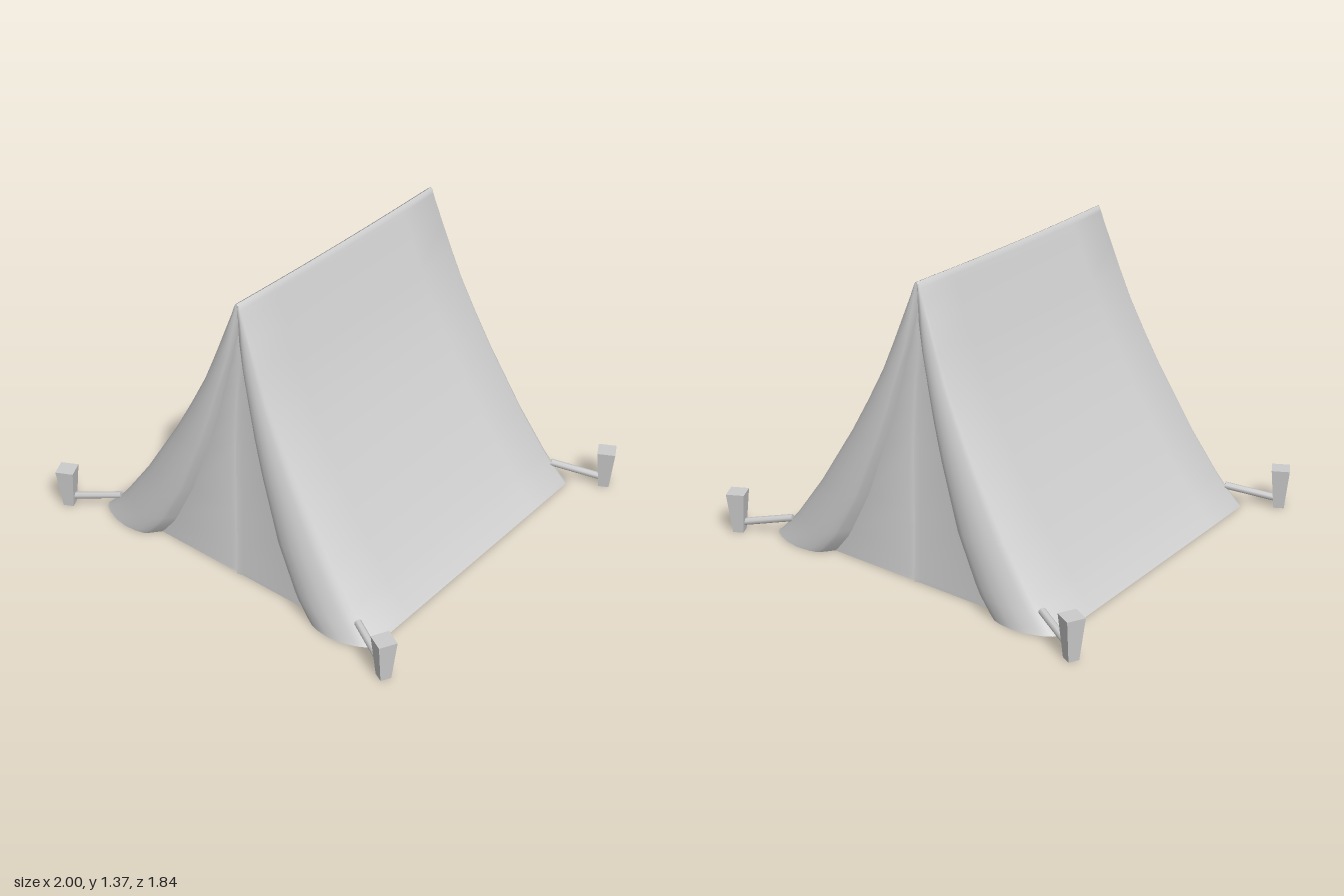
import * as THREE from 'three';
import { toCreasedNormals } from 'three/addons/utils/BufferGeometryUtils.js';

const material = new THREE.MeshStandardMaterial({ color: 0xcccccc, side: THREE.DoubleSide });
const lerp = THREE.MathUtils.lerp;
const HEIGHT = 1.37;

// Height, half width of the roof, half width of the door opening
const levels = [
  [0, 0.8, 0.49], [0.02, 0.775, 0.47], [0.09, 0.71, 0.41], [0.13, 0.675, 0.385],
  [0.33, 0.53, 0.28], [0.62, 0.35, 0.175], [0.78, 0.262, 0.125], [0.94, 0.18, 0.082],
  [1.08, 0.122, 0.045], [1.2, 0.075, 0.02], [1.3, 0.035, 0.009], [1.345, 0.019, 0.005],
  [1.363, 0.011, 0.003], [1.37, 0.001, 0.0005],
];

// Rolled flap: fraction from the roof edge to the door, and how far it bulges
const flap = [[0, 0], [0.06, 0.3], [0.18, 0.58], [0.38, 0.87], [0.6, 1], [0.82, 0.93], [0.95, 0.78], [1, 0.6]];

// One gable end at a given height, from +x to -x
function gableSection(y, w, inner) {
  const t = y / HEIGHT;
  const corner = lerp(0.745, 0.662, t);
  const bulge = lerp(0.825, 0.67, t);
  const door = lerp(0.745, 0.645, t);
  const side = flap.map(([s, b]) => [lerp(w, inner, s), lerp(corner, bulge, b)]);
  side.push([inner * 0.92, door]);
  // Wavy seam where the two door cloths meet
  const k = Math.min(1, inner / 0.17);
  const mid = 0.014 * k * Math.cos(y * 3.6);
  const seam = [[mid + 0.035 * k, door], [mid + 0.008 * k, door + 0.008 * k],
    [mid, door - 0.018 * k], [mid - 0.03 * k, door]];
  return [...side, ...seam, ...side.map(([x, z]) => [-x, z]).reverse()];
}

// Full outline: front gable, roof slope, back gable, roof slope
function tentSection([y, w, inner]) {
  const front = gableSection(y, w, inner);
  const edge = front[0][1];
  const slope = [0.66, 0.33, 0, -0.33, -0.66].map((f) => [-w, edge * f]);
  const half = [...front, ...slope];
  return [...half, ...half.map(([x, z]) => [-x, -z])];
}

function tentGeometry() {
  const rings = levels.map(tentSection);
  const n = rings[0].length;
  const positions = [];
  const index = [];
  rings.forEach((ring, i) => ring.forEach(([x, z]) => {
    // The ridge sags slightly between its ends
    const t = levels[i][0] / HEIGHT;
    const sag = 0.008 * t * Math.max(0, 1 - (z / 0.66) ** 2);
    positions.push(x, levels[i][0] - sag, z);
  }));
  for (let i = 0; i < rings.length - 1; i++) {
    for (let j = 0; j < n; j++) {
      const a = i * n + j, b = i * n + (j + 1) % n;
      index.push(a, a + n, b, b, a + n, b + n);
    }
  }
  // Ground sheet
  const centre = positions.length / 3;
  positions.push(0, 0, 0);
  for (let j = 0; j < n; j++) index.push(centre, j, (j + 1) % n);
  const geometry = new THREE.BufferGeometry();
  geometry.setAttribute('position', new THREE.Float32BufferAttribute(positions, 3));
  geometry.setIndex(index);
  return toCreasedNormals(geometry, 0.85);
}

function addMesh(parent, name, geometry) {
  const mesh = new THREE.Mesh(geometry, material);
  mesh.name = name;
  parent.add(mesh);
  return mesh;
}

// Guy rope and tapered square peg for one corner
function cornerAnchor(sx, sz) {
  const anchor = new THREE.Group();
  anchor.name = `${sz > 0 ? 'front' : 'back'}${sx > 0 ? 'Left' : 'Right'}Anchor`;

  const pegShape = new THREE.CylinderGeometry(0.06, 0.035, 0.2, 4).toNonIndexed();
  pegShape.computeVertexNormals();
  const peg = addMesh(anchor, 'peg', pegShape);
  peg.position.set(0.942 * sx, 0.1, 0.862 * sz);
  peg.rotation.y = Math.PI / 4 - sx * sz * 0.48;

  const start = new THREE.Vector3(0.71 * sx, 0.088, 0.745 * sz);
  const end = new THREE.Vector3(0.925 * sx, 0.045, 0.85 * sz);
  const direction = end.clone().sub(start);
  const rope = addMesh(anchor, 'guyRope', new THREE.CylinderGeometry(0.017, 0.017, direction.length(), 8));
  rope.position.copy(start).add(end).multiplyScalar(0.5);
  rope.quaternion.setFromUnitVectors(new THREE.Vector3(0, 1, 0), direction.normalize());
  return anchor;
}

export function createModel() {
  const tent = new THREE.Group();
  tent.name = 'tent';
  addMesh(tent, 'canvas', tentGeometry());
  for (const sx of [1, -1]) for (const sz of [1, -1]) tent.add(cornerAnchor(sx, sz));
  return tent;
}
